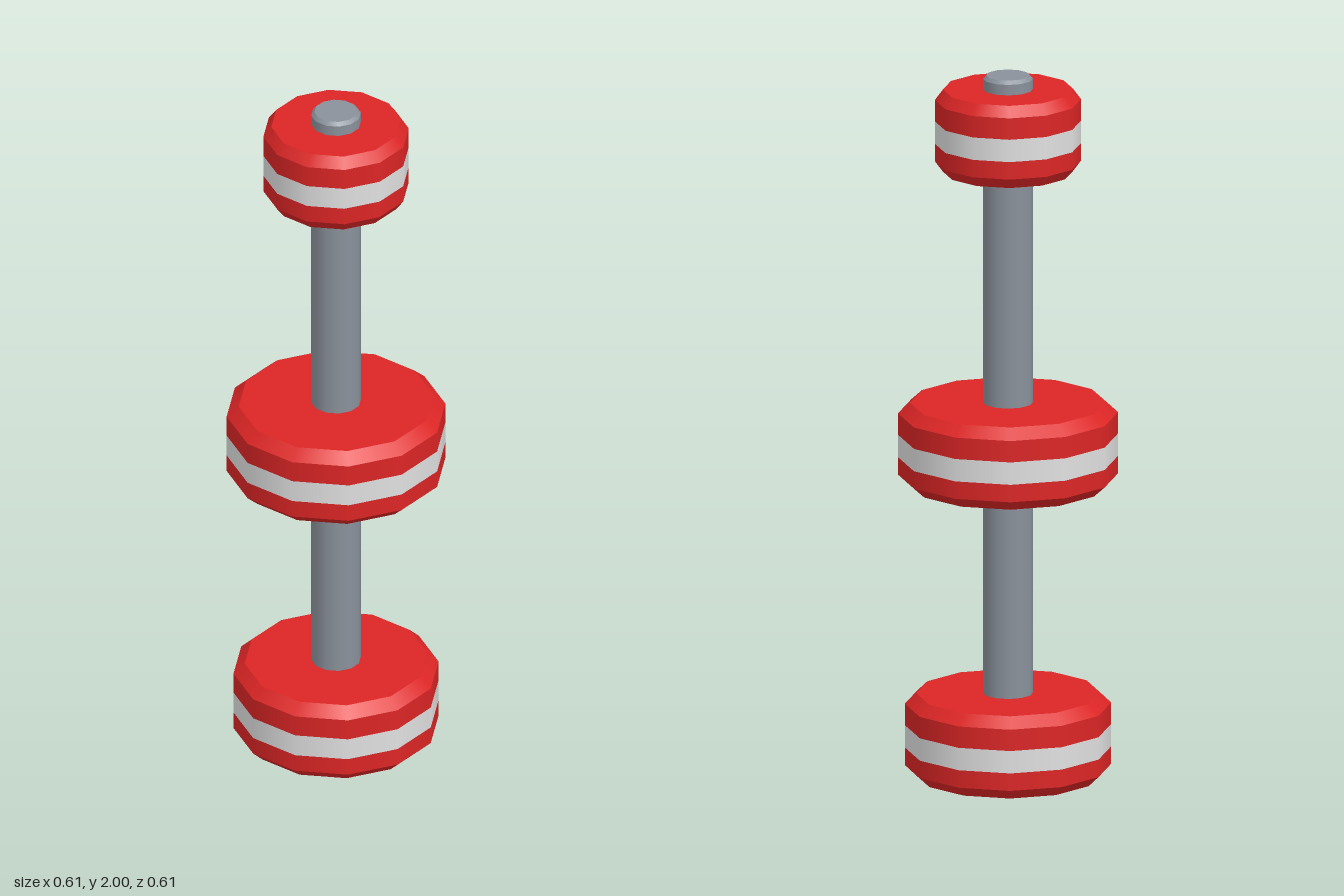
import * as THREE from 'three';

const SIDES = 12;

export function createModel() {
  const mat = (name, color) => {
    const m = new THREE.MeshStandardMaterial({ color });
    m.name = name;
    return m;
  };
  const red = mat('red', 0xdc2525);
  const white = mat('white', 0xe0e0e0);
  const steel = mat('steel grey', 0x8a919b);

  // Open band of wall from (r0, y0) up to (r1, y1); rims between bands stay sharp
  function band(parent, name, material, r0, y0, r1, y1) {
    const geo = new THREE.CylinderGeometry(r1, r0, y1 - y0, SIDES, 1, true);
    const mesh = new THREE.Mesh(geo, material);
    mesh.name = name;
    mesh.position.y = (y0 + y1) / 2;
    parent.add(mesh);
  }

  // Flat end face; dir 1 faces up, -1 faces down
  function cap(parent, name, material, r, y, dir) {
    const geo = new THREE.CircleGeometry(r, SIDES).rotateX(-dir * Math.PI / 2);
    const mesh = new THREE.Mesh(geo, material);
    mesh.name = name;
    mesh.position.y = y;
    parent.add(mesh);
  }

  const model = new THREE.Group();
  model.name = 'discPole';

  // Chamfered red discs, each with a white stripe flush in the wall
  const H = 0.235, BEVEL = 0.03, S0 = 0.08, S1 = 0.144;
  const discs = [['lowerDisc', 0.285, 0], ['middleDisc', 0.304, 0.83], ['upperDisc', 0.202, 1.725]];
  for (const [name, r, y] of discs) {
    const disc = new THREE.Group();
    disc.name = name;
    disc.position.y = y;
    const inner = r * 0.89;
    cap(disc, 'bottomFace', red, inner, 0, -1);
    band(disc, 'bottomBevel', red, inner, 0, r, BEVEL);
    band(disc, 'lowerWall', red, r, BEVEL, r, S0);
    band(disc, 'stripe', white, r, S0, r, S1);
    band(disc, 'upperWall', red, r, S1, r, H - BEVEL);
    band(disc, 'topBevel', red, r, H - BEVEL, inner, H);
    cap(disc, 'topFace', red, inner, H, 1);
    model.add(disc);
  }

  // Central pole through all the discs
  const pole = new THREE.Group();
  pole.name = 'pole';
  cap(pole, 'poleBottom', steel, 0.069, 0.02, -1);
  band(pole, 'poleShaft', steel, 0.069, 0.02, 0.069, 1.99);
  band(pole, 'poleBevel', steel, 0.069, 1.99, 0.06, 2);
  cap(pole, 'poleTop', steel, 0.06, 2, 1);
  model.add(pole);

  return model;
}
